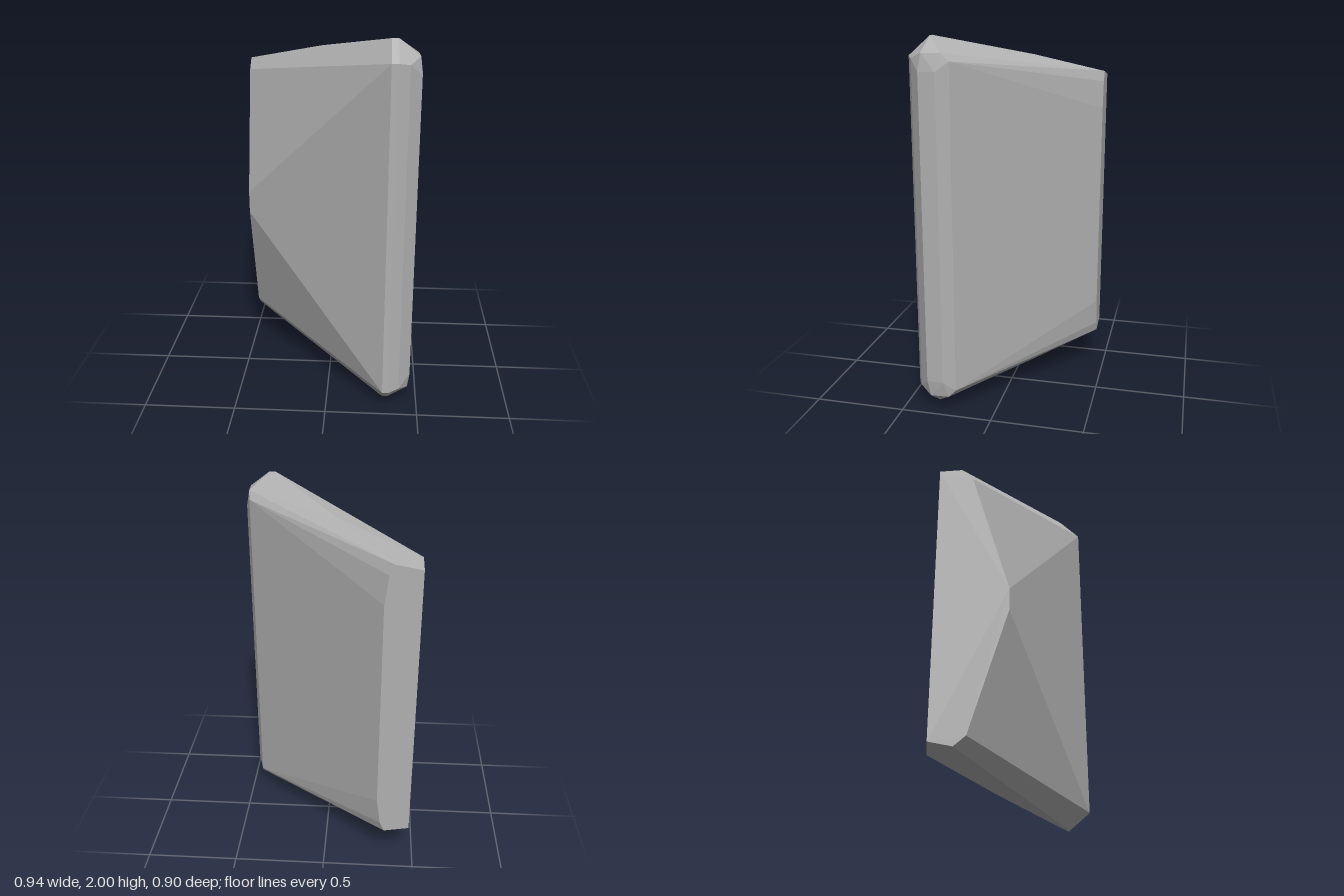
import * as THREE from 'three';
import { ConvexGeometry } from 'three/addons/geometries/ConvexGeometry.js';

// Corners of the upper half [x, y, z]; the lower half mirrors them about y = 1
const upperCorners = [
  // cut left end, from the narrow front tip to the back corner
  [-0.47, 1.06, -0.075], [-0.47, 1.725, -0.275], [-0.47, 1.78, -0.335], [-0.47, 1.76, -0.455],
  // cut back end with its rounded outer corner
  [-0.335, 1.785, -0.455], [-0.31, 1.73, -0.455], [-0.29, 1.58, -0.455],
  // slight bulge along the top
  [-0.05, 1.89, -0.11],
  // peak
  [0.31, 2, 0.335], [0.345, 2, 0.335],
  // rounded front edge
  [0.31, 1.9, 0.45], [0.345, 1.9, 0.45], [0.4, 1.89, 0.42],
  [0.45, 1.92, 0.35], [0.46, 1.83, 0.365],
  [0.445, 1.92, 0.25], [0.465, 1.83, 0.275], [0.44, 1.88, 0.21],
];

export function createModel() {
  const group = new THREE.Group();
  group.name = 'stoneSlab';

  const stone = new THREE.MeshStandardMaterial({ color: 0xb0b0b0 });
  stone.name = 'stone grey';
  stone.flatShading = true;

  // Faceted leaning slab, wrapped around the mirrored corners
  const points = [];
  for (const [x, y, z] of upperCorners) {
    points.push(new THREE.Vector3(x, y, z), new THREE.Vector3(x, 2 - y, z));
  }
  const slab = new THREE.Mesh(new ConvexGeometry(points), stone);
  slab.name = 'slab';
  group.add(slab);
  return group;
}
